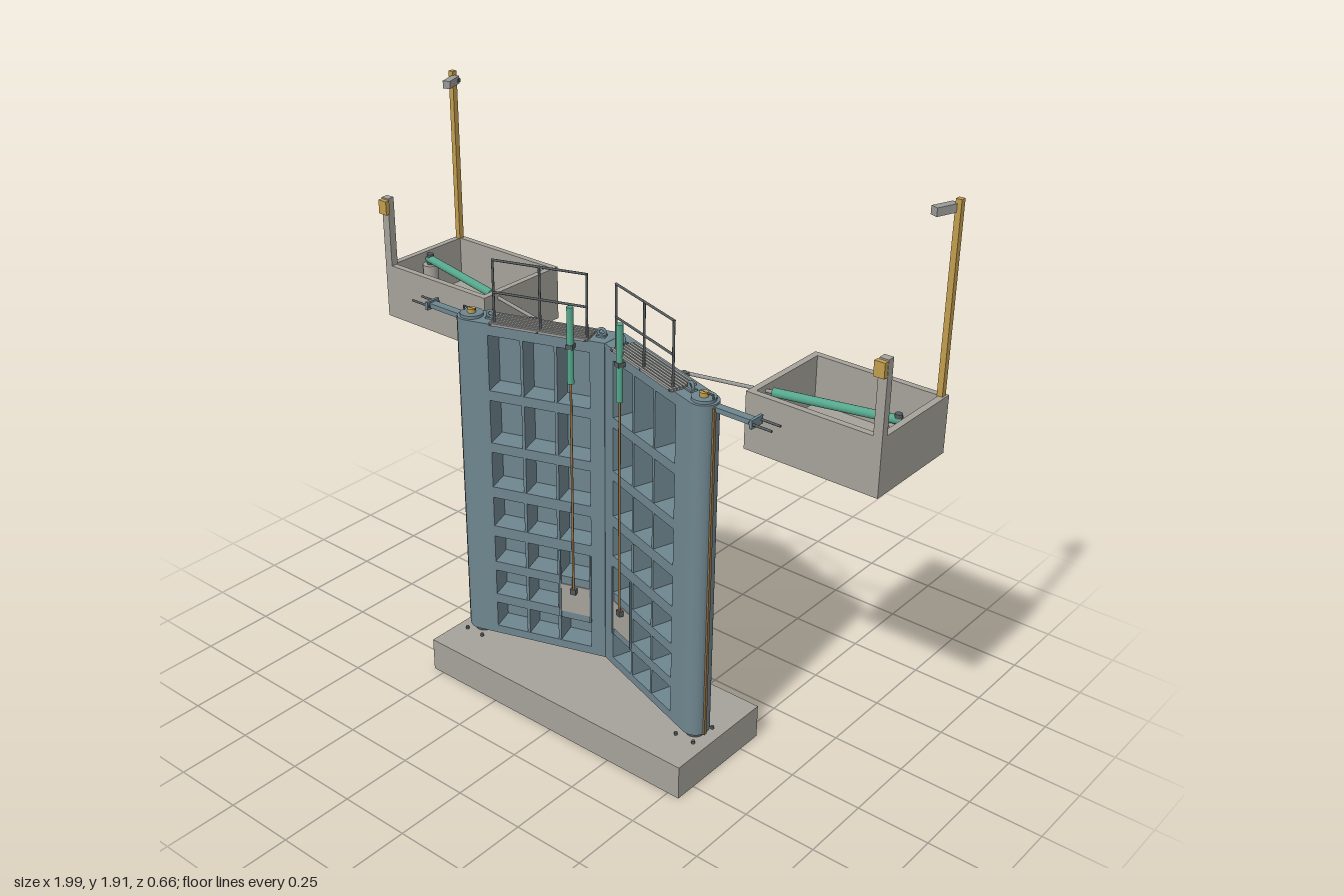
import * as THREE from 'three';
import { toCreasedNormals } from 'three/addons/utils/BufferGeometryUtils.js';

const material = (name, color) => {
  const m = new THREE.MeshStandardMaterial({ color });
  m.name = name;
  return m;
};

const R = 0.047;              // half thickness of a gate leaf
const TOP = 1.31, BOTTOM = 0.14;
const ANGLE = Math.atan(1 / 3);

export function createModel() {
  const paint = material('blue grey paint', 0x6f868f);
  const concrete = material('concrete', 0xa6a29b);
  const green = material('hydraulic green', 0x55a68c);
  const timber = material('timber', 0x94744a);
  const yellow = material('ochre yellow', 0xc19c4e);
  const steel = material('dark steel', 0x555b5d);
  const galvanised = material('galvanised grey', 0x9a9b98);

  const add = (parent, name, geometry, mat) => {
    const mesh = new THREE.Mesh(geometry, mat);
    mesh.name = name;
    parent.add(mesh);
    return mesh;
  };
  // box given by its limits on each axis
  const box = (parent, name, mat, x0, x1, y0, y1, z0, z1) => add(parent, name,
    new THREE.BoxGeometry(x1 - x0, y1 - y0, z1 - z0)
      .translate((x0 + x1) / 2, (y0 + y1) / 2, (z0 + z1) / 2), mat);
  // round bar between two points
  const bar = (parent, name, mat, a, b, r, sides = 10) => {
    const p = new THREE.Vector3(...a), q = new THREE.Vector3(...b);
    const mesh = add(parent, name, new THREE.CylinderGeometry(r, r, p.distanceTo(q), sides), mat);
    mesh.position.copy(p).lerp(q, 0.5);
    mesh.quaternion.setFromUnitVectors(new THREE.Vector3(0, 1, 0), q.sub(p).normalize());
    return mesh;
  };
  // plan outline raised from y0 to y1 (shape y is minus z)
  const raise = (shape, y0, y1) => toCreasedNormals(
    new THREE.ExtrudeGeometry(shape, { depth: y1 - y0, bevelEnabled: false, curveSegments: 24 })
      .rotateX(-Math.PI / 2).translate(0, y0, 0), 0.5);

  const side = new THREE.Group();
  side.name = 'rightSide';

  // Gate leaf: x runs from hinge to mitre, z towards the framed face
  const leaf = new THREE.Group();
  leaf.name = 'gateLeaf';
  leaf.position.set(-0.467, 0, 0.148);
  leaf.rotation.y = ANGLE;
  side.add(leaf);

  const U0 = 0.076, U1 = 0.426;
  const heel = new THREE.Shape();
  heel.moveTo(U0, -R);
  heel.lineTo(U0, R);
  heel.lineTo(0, R);
  heel.absarc(0, 0, R, Math.PI / 2, Math.PI * 1.5, false);
  add(leaf, 'heelPost', raise(heel, BOTTOM, TOP), paint);
  const mitre = new THREE.Shape([[U1, -R], [0.476, -R], [0.508, R], [U1, R]]
    .map(p => new THREE.Vector2(...p)));
  add(leaf, 'mitrePost', raise(mitre, BOTTOM, TOP), paint);

  // Skin plate with sluice opening
  const rect = (T, x0, x1, y0, y1) => new T([[x0, y0], [x1, y0], [x1, y1], [x0, y1]]
    .map(p => new THREE.Vector2(...p)));
  const skin = rect(THREE.Shape, U0, U1, BOTTOM, TOP);
  skin.holes.push(rect(THREE.Path, 0.34, 0.41, 0.31, 0.39));
  add(leaf, 'skinPlate', new THREE.ExtrudeGeometry(skin, { depth: 0.012, bevelEnabled: false })
    .translate(0, 0, -R), paint);

  // Girders between the pocket rows, and upright ribs
  const rows = [[0.17, 0.265], [0.3, 0.395], [0.43, 0.53], [0.57, 0.68],
    [0.72, 0.85], [0.885, 1.04], [1.075, 1.27]];
  const levels = [BOTTOM, ...rows.flat(), TOP];
  for (let i = 0; i < levels.length; i += 2)
    box(leaf, 'girder', paint, U0, U1, levels[i], levels[i + 1], -R + 0.012, R);
  for (const k of [1, 2]) {
    const u = U0 + (U1 - U0) * k / 3;
    for (const [y0, y1] of rows)
      box(leaf, 'rib', paint, u - 0.005, u + 0.005, y0, y1, -R + 0.012, R - 0.001);
  }

  // Sluice gate with its rod, guides and hydraulic ram
  box(leaf, 'sluiceGate', concrete, 0.318, U1 - 0.002, 0.292, 0.4, -0.02, R + 0.003);
  for (const u of [0.315, 0.424])
    box(leaf, 'sluiceGuide', paint, u - 0.003, u + 0.003, 0.27, 0.53, R, R + 0.006);
  bar(leaf, 'sluiceRod', timber, [0.367, 0.38, 0.06], [0.367, 1.16, 0.06], 0.004);
  box(leaf, 'rodEnd', steel, 0.357, 0.377, 0.375, 0.395, R, 0.066);
  bar(leaf, 'sluiceRam', green, [0.367, 1.16, 0.06], [0.367, 1.42, 0.06], 0.011, 16);
  box(leaf, 'ramBracket', steel, 0.355, 0.379, 1.28, 1.295, R, 0.072);

  // Fender timbers
  for (const y of [0.64, 0.82, 1.0])
    box(leaf, 'fender', timber, 0.09, 0.417, y - 0.02, y + 0.02, -0.079, -R);

  // Seals
  box(leaf, 'bottomSeal', steel, 0.06, 0.47, 0.12, BOTTOM, -0.035, 0.02);
  const heelSeal = box(side, 'heelSeal', timber, -0.518, -0.512, BOTTOM, 1.3, 0.155, 0.166);
  heelSeal.castShadow = false;

  // Walkway grating and handrail
  for (let i = 0; i < 8; i++) {
    const z = -0.03 + i * 0.0115;
    box(leaf, 'walkwaySlat', galvanised, 0.085, 0.422, TOP, TOP + 0.009, z, z + 0.008);
  }
  for (const u of [0.09, 0.25, 0.412])
    box(leaf, 'walkwayBearer', steel, u, u + 0.008, TOP, TOP + 0.006, -0.032, 0.06);
  for (const u of [0.1, 0.258, 0.416])
    bar(leaf, 'railPost', steel, [u, TOP, 0.042], [u, 1.53, 0.042], 0.004);
  for (const y of [1.42, 1.528])
    bar(leaf, 'handrail', steel, [0.097, y, 0.042], [0.419, y, 0.042], 0.004);

  // Lifting eyes
  for (const u of [0.068, 0.448]) {
    const eye = add(leaf, 'liftingEye', new THREE.TorusGeometry(0.012, 0.005, 8, 20), paint);
    eye.position.set(u, TOP + 0.014, 0);
    box(leaf, 'eyeBase', paint, u - 0.015, u + 0.015, TOP, TOP + 0.006, -0.012, 0.012);
  }

  // Hinge pin, collar and anchor
  bar(leaf, 'hingeCollar', paint, [0, TOP, 0], [0, TOP + 0.01, 0], 0.038, 24);
  bar(leaf, 'hingePin', yellow, [0, TOP + 0.01, 0], [0, TOP + 0.024, 0], 0.014, 16);
  bar(leaf, 'bottomPivot', steel, [0, 0.12, 0], [0, BOTTOM, 0], 0.03, 20);
  box(side, 'anchorBar', paint, -0.645, -0.5, 1.288, 1.304, 0.133, 0.161);
  box(side, 'anchorPlate', paint, -0.655, -0.645, 1.282, 1.31, 0.118, 0.172);
  for (const z of [0.124, 0.166])
    bar(side, 'anchorRod', steel, [-0.72, 1.296, z], [-0.64, 1.296, z], 0.004);
  bar(side, 'pinGuard', steel, [-0.5, 1.332, 0.148], [-0.452, 1.332, 0.148], 0.003);
  bar(side, 'pinGuardLeg', steel, [-0.5, 1.3, 0.148], [-0.5, 1.334, 0.148], 0.003);

  // Floor bolts beside the pivot
  for (const [x, z] of [[-0.5, 0.2], [-0.43, 0.2], [-0.5, 0.1], [-0.43, 0.09]])
    bar(side, 'floorBolt', steel, [x, 0.12, z], [x, 0.13, z], 0.006, 6);

  // Open concrete machinery pit
  const X0 = -0.993, X1 = -0.528, Z0 = -0.33, Z1 = 0.028, Y0 = 1.12, W = 0.022;
  box(side, 'pitFloor', concrete, X0, X1, Y0, Y0 + 0.03, Z0, Z1);
  box(side, 'pitBackWall', concrete, X0, X1, Y0 + 0.03, TOP, Z0, Z0 + W);
  box(side, 'pitFrontWall', concrete, X0, X1, Y0 + 0.03, TOP, Z1 - W, Z1);
  box(side, 'pitOuterWall', concrete, X0, X0 + W, Y0 + 0.03, TOP, Z0 + W, Z1 - W);
  box(side, 'pitInnerWall', concrete, X1 - W, X1, Y0 + 0.03, TOP, Z0 + W, Z1 - W);

  // Gate ram and its link to the leaf
  bar(side, 'ramPedestal', concrete, [-0.945, Y0 + 0.03, -0.135], [-0.945, 1.272, -0.135], 0.027, 20);
  bar(side, 'ramPivot', steel, [-0.945, 1.272, -0.135], [-0.945, 1.31, -0.135], 0.012, 16);
  bar(side, 'gateRam', green, [-0.955, 1.29, -0.138], [-0.57, 1.29, -0.05], 0.014, 16);
  bar(side, 'gateRamRod', galvanised, [-0.57, 1.29, -0.05], [-0.3, 1.29, 0.012], 0.006);
  box(leaf, 'ramLug', steel, 0.175, 0.2, 1.265, 1.305, -0.066, -R);

  // Signal pillar
  box(side, 'signalPillar', concrete, X0, X0 + 0.03, TOP, 1.55, 0.002, Z1);
  box(side, 'signalBox', yellow, X0 + 0.001, X0 + 0.036, 1.497, 1.545, Z1, Z1 + 0.016);

  // Camera mast
  box(side, 'mast', yellow, -0.986, -0.967, TOP, 1.91, -0.322, -0.303);
  box(side, 'mastArm', steel, -0.967, -0.945, 1.876, 1.888, -0.317, -0.305);
  const camera = add(side, 'mastCamera', new THREE.BoxGeometry(0.026, 0.026, 0.075), galvanised);
  camera.position.set(-0.95, 1.883, -0.278);
  camera.rotation.y = 0.35;

  // Mirrored copy with reversed corner order
  const mirrored = new THREE.Group();
  mirrored.name = 'leftSide';
  side.updateMatrixWorld(true);
  side.traverse(o => {
    if (!o.isMesh) return;
    const g = o.geometry.index ? o.geometry.toNonIndexed() : o.geometry.clone();
    g.applyMatrix4(o.matrixWorld).scale(-1, 1, 1);
    for (const { array, itemSize: n } of Object.values(g.attributes))
      for (let i = 0; i < array.length; i += 3 * n)
        for (let k = 0; k < n; k++) {
          const a = i + n + k, b = a + n, t = array[a];
          array[a] = array[b];
          array[b] = t;
        }
    add(mirrored, o.name, g, o.material);
  });

  const model = new THREE.Group();
  model.name = 'mitreGate';
  box(model, 'foundationSlab', concrete, -0.543, 0.543, 0, 0.12, -0.09, 0.327);
  model.add(side, mirrored);
  return model;
}
